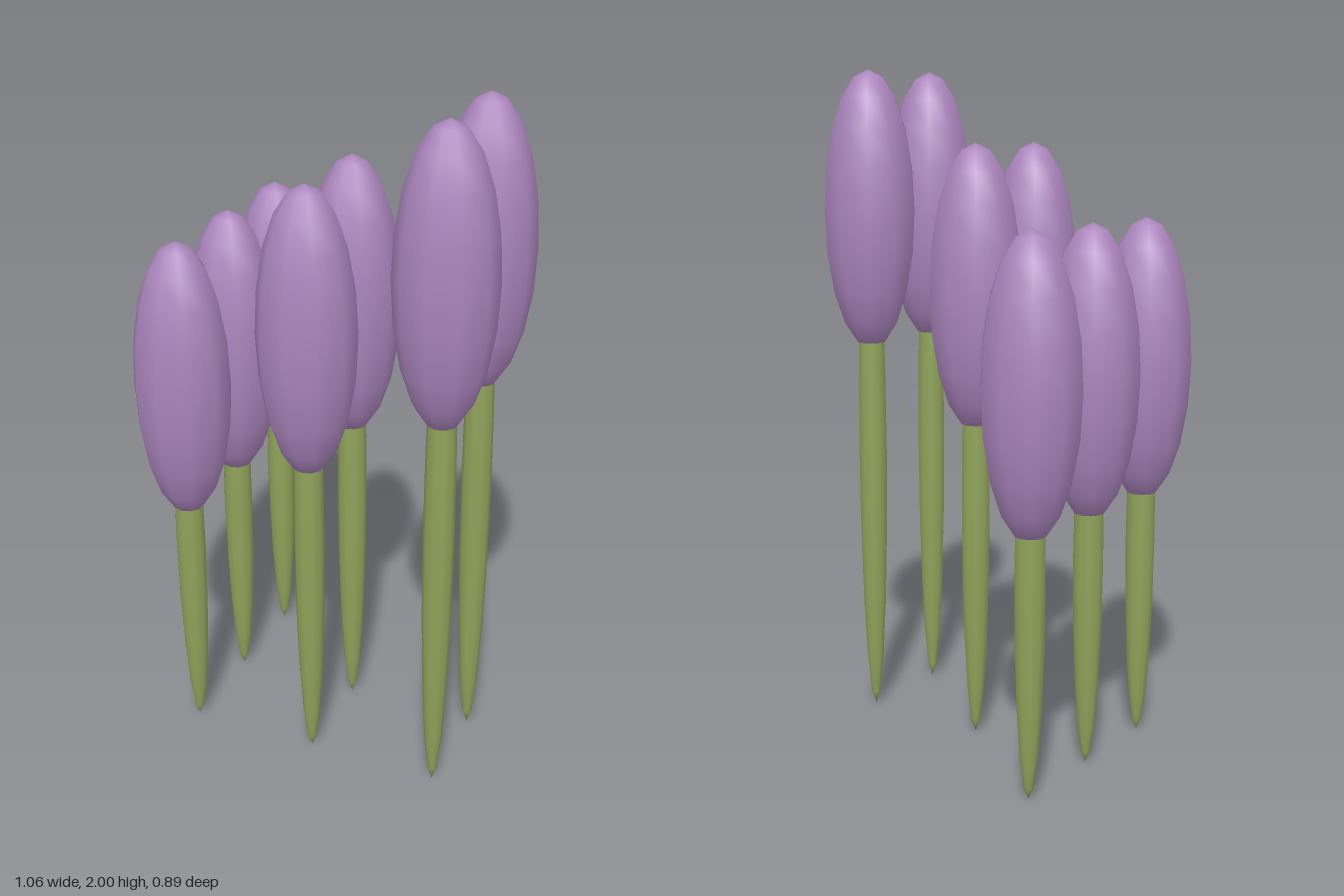
import * as THREE from 'three';

const purple = new THREE.MeshStandardMaterial({ color: 0xab85bd });
purple.name = 'soft purple';
const green = new THREE.MeshStandardMaterial({ color: 0x8fa35a });
green.name = 'leaf green';

// Stretched ten-sided ball with a corner facing +z
function ellipsoid(radius, halfHeight) {
  const g = new THREE.SphereGeometry(1, 10, 10);
  g.rotateY(Math.PI / 2);
  g.scale(radius, halfHeight, radius);
  return g;
}

const HEAD_HALF = 0.42;
const headGeometry = ellipsoid(0.141, HEAD_HALF);

// Columns rise in height from the model's right to its left
const columns = [
  { x: -0.395, top: 1.575, stemHalf: 0.62, rows: [-0.302, 0, 0.302] },
  { x: 0, top: 1.787, stemHalf: 0.73, rows: [0, 0.302] },
  { x: 0.395, top: 2, stemHalf: 0.84, rows: [0, 0.302] },
];

export function createModel() {
  const model = new THREE.Group();
  model.name = 'flowerCluster';

  for (const { x, top, stemHalf, rows } of columns) {
    const stemGeometry = ellipsoid(0.044, stemHalf);
    for (const z of rows) {
      const flower = new THREE.Group();
      flower.name = 'flower';
      flower.position.set(x, 0, z);

      // Stem tapers to a point on the ground and ends inside the head
      const stem = new THREE.Mesh(stemGeometry, green);
      stem.name = 'stem';
      stem.position.y = stemHalf;

      const head = new THREE.Mesh(headGeometry, purple);
      head.name = 'flowerHead';
      head.position.y = top - HEAD_HALF;

      flower.add(stem, head);
      model.add(flower);
    }
  }
  return model;
}
